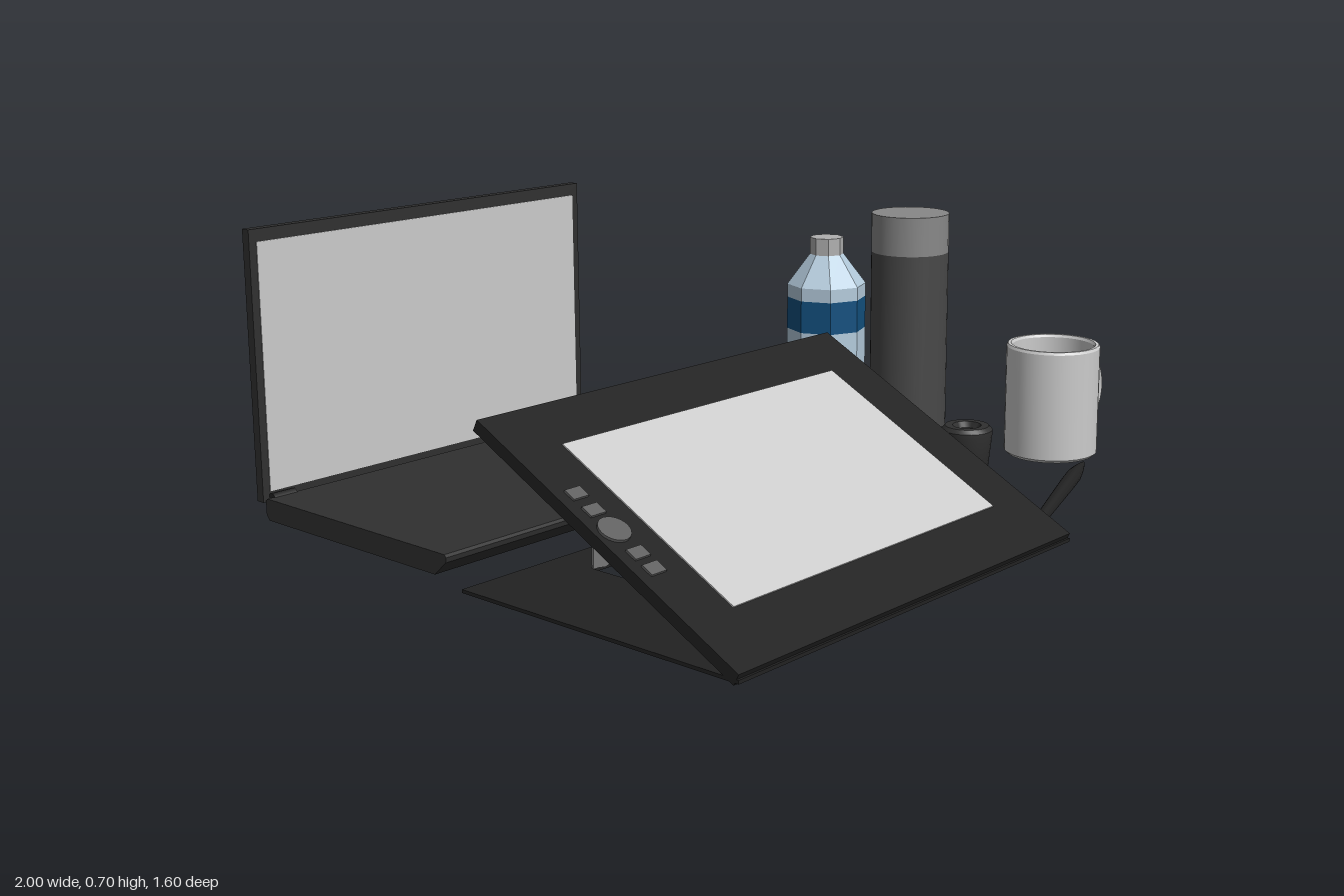
import * as THREE from 'three';
import { toCreasedNormals } from 'three/addons/utils/BufferGeometryUtils.js';

const mat = (color, extra = {}) => new THREE.MeshStandardMaterial({ color, ...extra });
const black = mat(0x222222), dark = mat(0x303030), charcoal = mat(0x484848);
const midGrey = mat(0x888888), buttonGrey = mat(0x606060), flapGrey = mat(0x777777);
const grey = mat(0xcccccc);

function add(parent, name, geometry, material, x = 0, y = 0, z = 0) {
  const mesh = new THREE.Mesh(geometry, material);
  mesh.name = name;
  mesh.position.set(x, y, z);
  parent.add(mesh);
  return mesh;
}

function group(parent, name, x = 0, y = 0, z = 0) {
  const g = new THREE.Group();
  g.name = name;
  g.position.set(x, y, z);
  parent.add(g);
  return g;
}

const box = (w, h, d) => new THREE.BoxGeometry(w, h, d);
const points = list => list.map(([x, y]) => new THREE.Vector2(x, y));
const lathe = (list, sides = 32) =>
  toCreasedNormals(new THREE.LatheGeometry(points(list), sides), 0.5);

function addLaptop(root) {
  const laptop = group(root, 'laptop', -0.413, 0, 0);
  const width = 1.055;
  // Side profile (depth, height) with an undercut front
  const profile = new THREE.Shape(points([
    [-0.755, 0], [-0.15, 0], [-0.112, 0.035], [-0.11, 0.047],
    [-0.116, 0.053], [-0.76, 0.053], [-0.766, 0.047], [-0.766, 0.012],
  ]));
  const base = new THREE.ExtrudeGeometry(profile, { depth: width, bevelEnabled: false });
  base.rotateY(-Math.PI / 2).translate(width / 2, 0, 0);
  // The extrusion's depth axis becomes -x, its x axis becomes +z
  add(laptop, 'laptopBase', base, dark);
  add(laptop, 'laptopLid', box(width, 0.66, 0.024), dark, 0, 0.37, -0.788);
  add(laptop, 'laptopScreen', box(1.015, 0.605, 0.003), grey, 0, 0.367, -0.7755);
  for (const side of [-1, 1]) {
    const hinge = new THREE.CylinderGeometry(0.014, 0.014, 0.065, 12).rotateZ(Math.PI / 2);
    add(laptop, 'laptopHinge', hinge, black, side * 0.477, 0.047, -0.767);
  }
}

function addTablet(root) {
  const tablet = group(root, 'drawingTablet', -0.4275, 0, 0);
  // Slanted slab, origin at the middle of its top surface
  const slab = group(tablet, 'tabletSlab', 0, 0.215, 0.435);
  slab.rotation.x = 0.476;
  add(slab, 'tabletBody', box(1.145, 0.028, 0.81), black, 0, -0.014, 0);
  add(slab, 'tabletScreen', box(0.89, 0.004, 0.535), grey, 0.0025, 0.001, -0.008);
  for (const z of [-0.135, -0.08, 0.058, 0.107])
    add(slab, 'tabletButton', box(0.042, 0.008, 0.031), buttonGrey, -0.524, 0.001, z);
  const dial = new THREE.CylinderGeometry(0.036, 0.036, 0.01, 24);
  add(slab, 'tabletDial', dial, buttonGrey, -0.524, 0.001, -0.016);

  // Thin stand plate with the window its prop folds out of
  const plate = new THREE.Shape(points([
    [-0.5725, -0.795], [0.5725, -0.795], [0.5725, -0.01], [-0.5725, -0.01],
  ]));
  plate.holes.push(new THREE.Path(points([
    [-0.295, -0.64], [-0.295, -0.125], [0.295, -0.125], [0.295, -0.64],
  ])));
  const plateGeo = new THREE.ExtrudeGeometry(plate, { depth: 0.008, bevelEnabled: false });
  add(tablet, 'standPlate', plateGeo.rotateX(-Math.PI / 2), black, 0, 0.01, 0);
  add(tablet, 'standProp', box(0.59, 0.335, 0.006), flapGrey, 0, 0.182, 0.122);
}

function addBottle(root) {
  const bottle = group(root, 'waterBottle', 0.455, 0.01, -0.18);
  const plastic = mat(0xb4cbdc, { flatShading: true });
  const label = mat(0x12507f, { flatShading: true });
  const capGrey = mat(0xb0b0b0, { flatShading: true });
  // name, bottom radius, top radius, bottom height, top height, material
  for (const [name, r0, r1, y0, y1, m] of [
    ['bottleBody', 0.105, 0.105, 0, 0.32, plastic],
    ['bottleBand', 0.105, 0.105, 0.32, 0.405, label],
    ['bottleUpperBody', 0.105, 0.105, 0.405, 0.44, plastic],
    ['bottleShoulder', 0.105, 0.045, 0.44, 0.52, plastic],
    ['bottleCap', 0.045, 0.045, 0.52, 0.565, capGrey],
  ]) add(bottle, name, new THREE.CylinderGeometry(r1, r0, y1 - y0, 8), m, 0, (y0 + y1) / 2, 0);
}

function addFlask(root) {
  const flask = group(root, 'flask', 0.775, 0.01, -0.143);
  add(flask, 'flaskBody', new THREE.CylinderGeometry(0.107, 0.107, 0.49, 32), charcoal, 0, 0.245, 0);
  add(flask, 'flaskLid', new THREE.CylinderGeometry(0.107, 0.107, 0.107, 32), midGrey, 0, 0.5435, 0);
}

function addMug(root) {
  const mug = group(root, 'mug', 0.772, 0.01, 0.335);
  add(mug, 'mugBody', lathe([
    [0, 0], [0.115, 0], [0.123, 0.008], [0.123, 0.29], [0.119, 0.297],
    [0.111, 0.297], [0.107, 0.29], [0.107, 0.02], [0, 0.02],
  ]), grey);
  // Half-ellipse handle, widened sideways into a strap
  const path = [];
  for (let i = 0; i <= 12; i++) {
    const a = -Math.PI / 2 + (Math.PI * i) / 12;
    path.push(new THREE.Vector3(0.108 + 0.107 * Math.cos(a), 0.147 + 0.104 * Math.sin(a), 0));
  }
  const handle = new THREE.TubeGeometry(new THREE.CatmullRomCurve3(path), 32, 0.013, 10);
  add(mug, 'mugHandle', handle.scale(1, 1, 1.75), grey);
}

function addPen(root) {
  // Small flared holder with a socket in its top
  add(root, 'penHolder', lathe([
    [0, 0], [0.045, 0], [0.05, 0.008], [0.05, 0.045], [0.055, 0.055], [0.064, 0.14],
    [0.064, 0.15], [0.055, 0.16], [0.036, 0.16], [0.03, 0.145], [0, 0.145],
  ], 24), dark, 0.355, 0.01, 0.355);

  // Stylus lying on the table, tail to tip
  const tail = new THREE.Vector3(0.2, 0.028, 0.68), tip = new THREE.Vector3(0.658, 0.036, 0.51);
  const pen = add(root, 'stylus', lathe([
    [0, 0], [0.011, 0], [0.014, 0.02], [0.016, 0.12], [0.019, 0.3],
    [0.019, 0.37], [0.013, 0.43], [0.006, 0.475], [0.003, 0.488], [0, 0.488],
  ], 16), black, tail.x, tail.y, tail.z);
  pen.quaternion.setFromUnitVectors(new THREE.Vector3(0, 1, 0), tip.sub(tail).normalize());
}

export function createModel() {
  const root = new THREE.Group();
  root.name = 'deskSet';
  for (const build of [addLaptop, addTablet, addBottle, addFlask, addMug, addPen]) build(root);
  return root;
}
